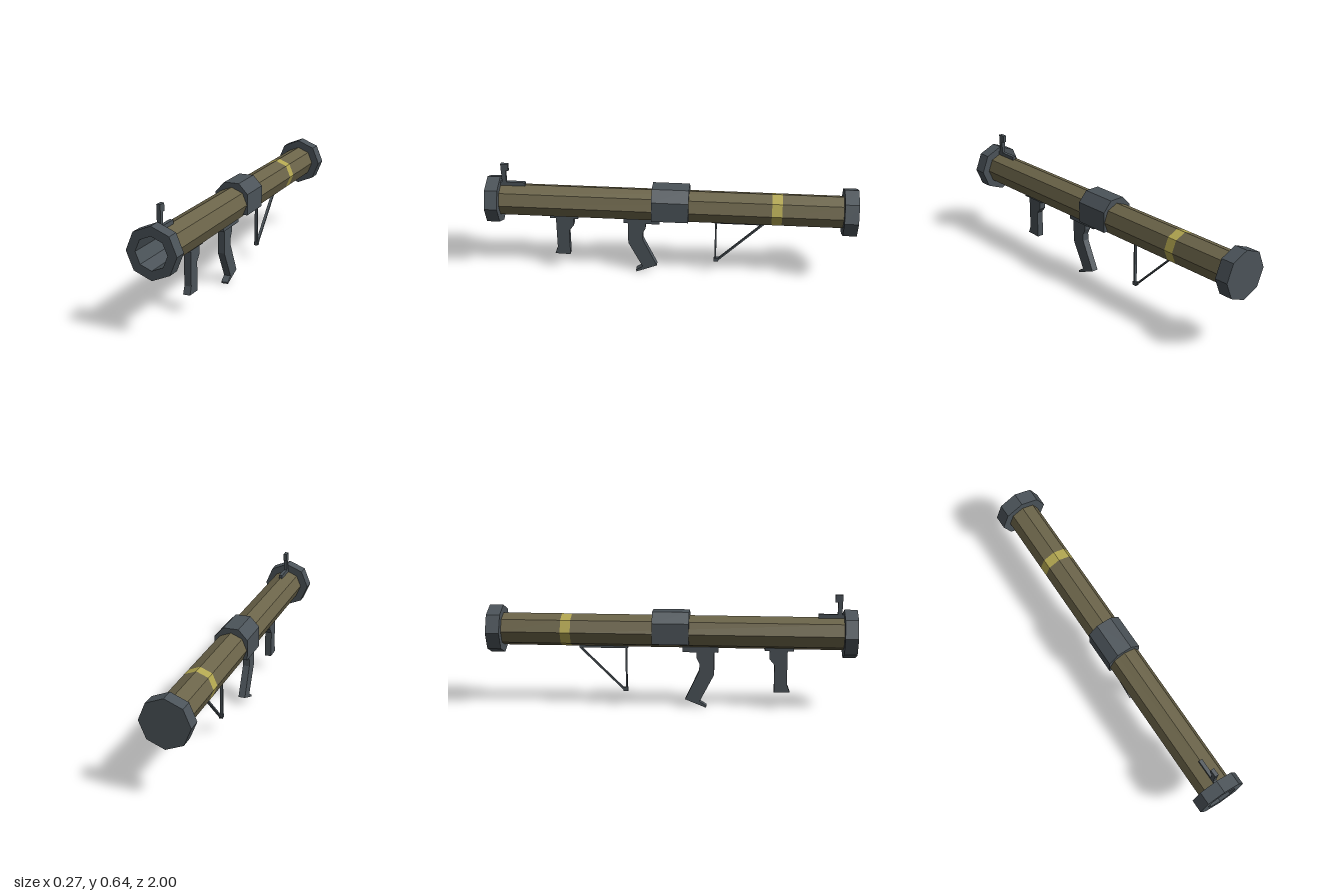
import * as THREE from 'three';

const AXIS_Y = 0.426; // height of the tube's centre line

export function createModel() {
  const model = new THREE.Group();
  model.name = 'shoulderLauncher';

  const grey = new THREE.MeshStandardMaterial({ color: 0x4b5359 });
  grey.name = 'gunmetal grey';
  const olive = new THREE.MeshStandardMaterial({ color: 0x6b6449 });
  olive.name = 'olive drab';
  const yellow = new THREE.MeshStandardMaterial({ color: 0xb3a750 });
  yellow.name = 'band yellow';

  function add(name, geometry, material) {
    const flat = geometry.index ? geometry.toNonIndexed() : geometry;
    flat.computeVertexNormals();
    const mesh = new THREE.Mesh(flat, material);
    mesh.name = name;
    model.add(mesh);
    return mesh;
  }

  // Eight-sided ring along z, from [radius, z] pairs
  function ring(name, profile, material) {
    const geo = new THREE.LatheGeometry(profile.map(([r, z]) => new THREE.Vector2(r, z)), 8);
    geo.rotateX(Math.PI / 2);
    geo.translate(0, AXIS_Y, 0);
    return add(name, geo, material);
  }

  // Side outline in [z, y] pairs, extruded across x
  function sidePart(name, outline, width) {
    const shape = new THREE.Shape(outline.map(([z, y]) => new THREE.Vector2(z, y)));
    const geo = new THREE.ExtrudeGeometry(shape, { depth: width, bevelEnabled: false });
    geo.translate(0, 0, -width / 2);
    geo.rotateY(-Math.PI / 2);
    return add(name, geo, grey);
  }

  // Box given by its z and y limits
  function block(name, z0, z1, y0, y1, width) {
    const geo = new THREE.BoxGeometry(width, y1 - y0, z1 - z0);
    geo.translate(0, (y0 + y1) / 2, (z0 + z1) / 2);
    return add(name, geo, grey);
  }

  // Flat bar between two [z, y] points
  function bar(name, a, b, width, thickness) {
    const dz = b[0] - a[0], dy = b[1] - a[1];
    const geo = new THREE.BoxGeometry(width, thickness, Math.hypot(dz, dy));
    geo.rotateX(-Math.atan2(dy, dz));
    geo.translate(0, (a[1] + b[1]) / 2, (a[0] + b[0]) / 2);
    return add(name, geo, grey);
  }

  // Tube and its painted band
  const R = 0.09;
  ring('rearTube', [[R, -0.93], [R, -0.6]], olive);
  ring('paintedBand', [[R, -0.6], [R, -0.545]], yellow);
  ring('frontTube', [[R, -0.545], [R, 0.94]], olive);

  // End collars; the front one opens into the bore
  ring('muzzleCollarAndBore', [
    [0.08, 0.93], [0.133, 0.93], [0.133, 1], [0.084, 1], [0.084, -0.92], [0, -0.92],
  ], grey);
  ring('rearCap', [[0, -1], [0.133, -1], [0.133, -0.925], [0.08, -0.925]], grey);

  // Saddle-shaped cuff over the middle of the tube
  const cuff = new THREE.Shape([
    [-0.093, 0.37], [0.093, 0.37], [0.093, 0.485], [0.042, 0.54], [-0.042, 0.54], [-0.093, 0.485],
  ].map(([x, y]) => new THREE.Vector2(x, y)));
  const cuffGeo = new THREE.ExtrudeGeometry(cuff, { depth: 0.2, bevelEnabled: false });
  // Keep the bore clear: only the cuff's outer sides and its two end faces outside the bore
  const hole = new THREE.Path();
  for (let i = 0; i < 8; i++) {
    const a = i * Math.PI / 4;
    const x = 0.087 * Math.cos(a), y = AXIS_Y + 0.087 * Math.sin(a);
    if (i === 0) hole.moveTo(x, y); else hole.lineTo(x, y);
  }
  cuffGeo.dispose();
  const outer = new THREE.Shape();
  // Outline runs round the outside, then back along the tube wall
  const wall = [];
  for (let i = 0; i <= 4; i++) {
    const a = i * Math.PI / 4;
    wall.push([0.087 * Math.cos(a), AXIS_Y + 0.087 * Math.sin(a)]);
  }
  const saddle = [
    [0.064, 0.37], [0.093, 0.37], [0.093, 0.485], [0.042, 0.54],
    [-0.042, 0.54], [-0.093, 0.485], [-0.093, 0.37], [-0.064, 0.37],
    ...wall.reverse(),
  ];
  outer.setFromPoints(saddle.map(([x, y]) => new THREE.Vector2(x, y)));
  const saddleGeo = new THREE.ExtrudeGeometry(outer, { depth: 0.2, bevelEnabled: false });
  saddleGeo.translate(0, 0, -0.1);
  add('cuff', saddleGeo, grey);

  // Front grip
  block('frontGripMount', 0.51, 0.666, 0.329, 0.345, 0.05);
  sidePart('frontGrip', [
    [0.634, 0.335], [0.634, 0.14], [0.65, 0.098], [0.564, 0.096],
    [0.564, 0.25], [0.537, 0.282], [0.537, 0.335],
  ], 0.038);

  // Rear grip, raked backwards
  block('rearGripMount', 0.062, 0.258, 0.315, 0.345, 0.05);
  sidePart('rearGrip', [
    [0.236, 0.32], [0.236, 0.187], [0.158, 0.035], [0.196, 0.01], [0.193, 0],
    [0.078, 0.046], [0.155, 0.21], [0.155, 0.25], [0.139, 0.283], [0.139, 0.32],
  ], 0.038);

  // Folding shoulder brace
  block('braceMount', -0.507, -0.238, 0.328, 0.342, 0.022);
  bar('braceUpright', [-0.247, 0.335], [-0.247, 0.09], 0.016, 0.009);
  bar('braceDiagonal', [-0.258, 0.09], [-0.503, 0.33], 0.016, 0.009);
  block('braceFoot', -0.264, -0.239, 0.084, 0.104, 0.02);

  // Front sight
  block('sightBase', 0.794, 0.935, 0.505, 0.533, 0.02);
  block('sightPost', 0.896, 0.92, 0.53, 0.605, 0.02);
  block('sightHead', 0.881, 0.921, 0.6, 0.64, 0.02);

  return model;
}
